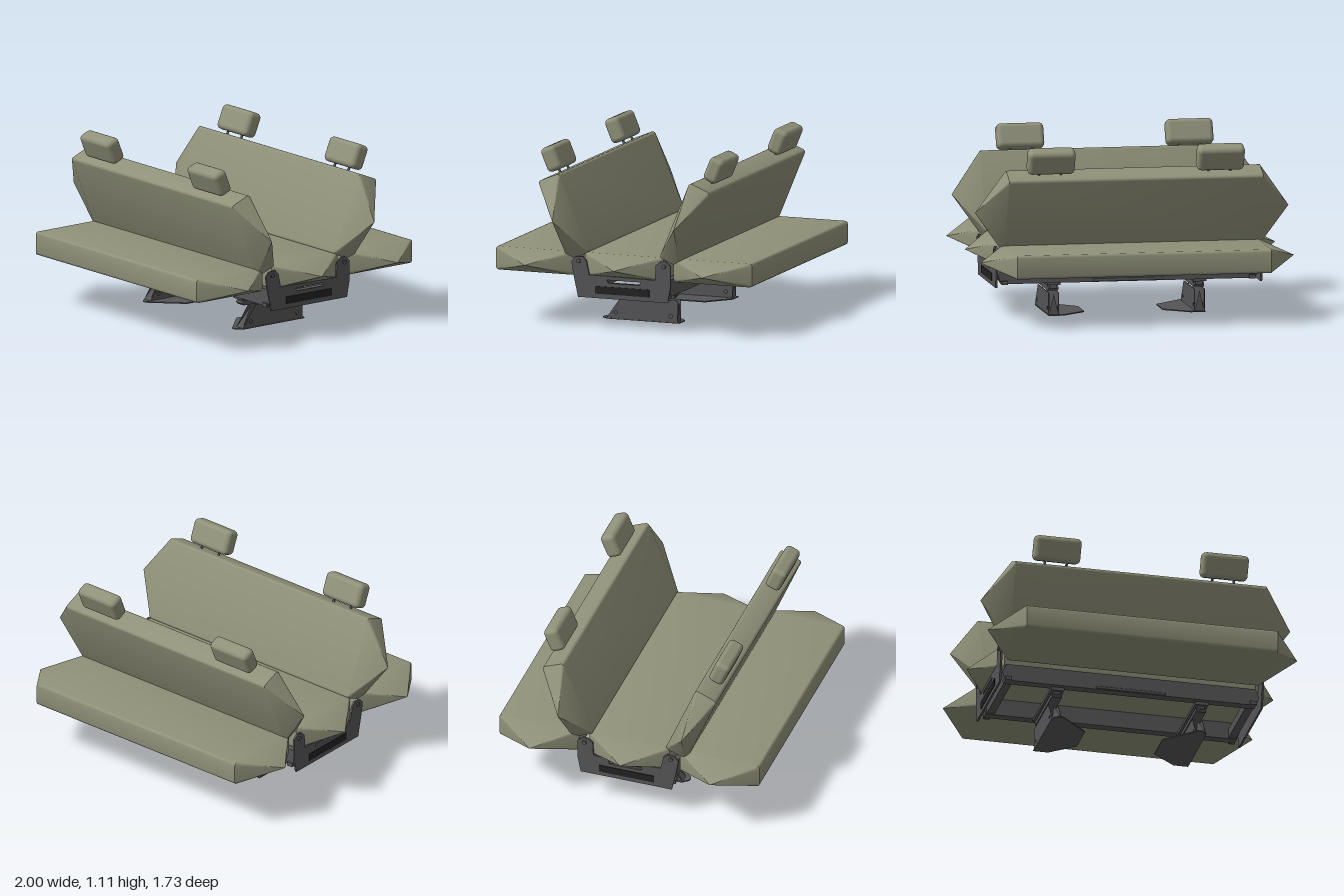
import * as THREE from 'three';
import { RoundedBoxGeometry } from 'three/addons/geometries/RoundedBoxGeometry.js';
import { toCreasedNormals } from 'three/addons/utils/BufferGeometryUtils.js';

const fabric = new THREE.MeshStandardMaterial({ color: 0x8f9179 });
const metal = new THREE.MeshStandardMaterial({ color: 0x555557, side: THREE.DoubleSide });
const black = new THREE.MeshStandardMaterial({ color: 0x222222 });
const LEAN = THREE.MathUtils.degToRad(22.5);

function add(parent, name, geometry, material, x = 0, y = 0, z = 0) {
  const mesh = new THREE.Mesh(geometry, material);
  mesh.name = name;
  mesh.position.set(x, y, z);
  parent.add(mesh);
  return mesh;
}

const box = (w, h, d) => new THREE.BoxGeometry(w, h, d);
const polygon = (pts) => new THREE.Shape(pts.map(([a, b]) => new THREE.Vector2(a, b)));

// Outline drawn in (z, y), extruded to a plate of the given thickness along x
function sidePlate(shape, thickness) {
  const g = new THREE.ExtrudeGeometry(shape, { depth: thickness, bevelEnabled: false, curveSegments: 8 });
  return g.translate(0, 0, -thickness / 2).rotateY(-Math.PI / 2);
}

// Rectangle with softened corners, lofted along x and drawn to a point at each end
function cushionGeometry(tip) {
  const hz = 0.265, hy = 0.075, r = 0.018, ring = [];
  [[1, 1, 0], [-1, 1, 1], [-1, -1, 2], [1, -1, 3]].forEach(([sz, sy, q]) => {
    for (let i = 0; i <= 3; i++) {
      const a = (q + i / 3) * Math.PI / 2;
      ring.push([sz * (hz - r) + r * Math.cos(a), sy * (hy - r) + r * Math.sin(a)]);
    }
  });
  const n = ring.length, pos = [], index = [];
  for (const [x, s] of [[-tip, 0], [-0.81, 1], [0.81, 1], [tip, 0]])
    for (const [z, y] of ring) pos.push(x, y * s, z * s);
  for (let k = 0; k < 3; k++)
    for (let i = 0; i < n; i++) {
      const a = k * n + i, b = k * n + (i + 1) % n;
      if (k > 0) index.push(a, b, a + n);
      else index.push(a, b + n, a + n);
      if (k === 1) index.push(b, b + n, a + n);
    }
  // ring runs z -> y, so flip the winding to face outwards
  for (let i = 0; i < index.length; i += 3) {
    const A = index[i], B = index[i + 1], C = index[i + 2];
    const v = (j) => new THREE.Vector3().fromArray(pos, j * 3);
    const normal = v(B).sub(v(A)).cross(v(C).sub(v(A)));
    const centre = v(A).add(v(B)).add(v(C));
    if (normal.dot(centre) < 0) [index[i + 1], index[i + 2]] = [C, B];
  }
  const g = new THREE.BufferGeometry();
  g.setAttribute('position', new THREE.Float32BufferAttribute(pos, 3));
  g.setIndex(index);
  return toCreasedNormals(g, 0.6);
}

export function createModel() {
  const model = new THREE.Group();
  model.name = 'doubleBench';

  // Seat cushions
  add(model, 'middleSeat', cushionGeometry(0.99), fabric, 0, 0.4, 0);
  for (const s of [1, -1]) add(model, s > 0 ? 'frontSeat' : 'rearSeat', cushionGeometry(1), fabric, 0, 0.4, s * 0.6);

  // Leaning backrests with two headrests each
  for (const s of [1, -1]) {
    const back = new THREE.Group();
    back.name = s > 0 ? 'frontBackrest' : 'rearBackrest';
    back.position.set(0, 0.69, s * 0.41);
    back.rotation.x = s * LEAN;
    model.add(back);
    add(back, 'backCushion', cushionGeometry(1).rotateX(-Math.PI / 2), fabric);
    for (const x of [-0.54, 0.54]) {
      add(back, 'headrest', new RoundedBoxGeometry(0.3, 0.16, 0.1, 3, 0.03), fabric, x, 0.365, 0);
      for (const dx of [-0.07, 0.07])
        add(back, 'headrestPost', new THREE.CylinderGeometry(0.008, 0.008, 0.06, 10), metal, x + dx, 0.275, 0);
    }
  }

  // Side brackets that hold the seat and the backrests
  const bracket = polygon([
    [0.295, 0.195], [0.325, 0.33], [0.34, 0.42], [0.315, 0.45], [0.265, 0.455], [0.24, 0.43], [0.22, 0.34],
    [-0.225, 0.335], [-0.23, 0.43], [-0.26, 0.455], [-0.295, 0.46], [-0.33, 0.43], [-0.33, 0.3], [-0.31, 0.195],
  ]);
  bracket.holes.push(polygon([[0.1, 0.315], [-0.125, 0.315], [-0.12, 0.295], [0.09, 0.295]]));
  for (const s of [-1, 1]) {
    add(model, 'sideBracket', sidePlate(bracket, 0.012), metal, s * 0.845);
    add(model, 'bracketPanel', box(0.006, 0.048, 0.365), black, s * 0.852, 0.248, -0.005);
    for (const z of [0.29, -0.285])
      add(model, 'pivotBolt', new THREE.CylinderGeometry(0.014, 0.014, 0.012, 12).rotateZ(Math.PI / 2), metal, s * 0.854, 0.425, z);
    // Frame end member
    add(model, 'endMember', box(0.05, 0.06, 0.5), metal, s * 0.78, 0.25, 0);
  }

  // Long frame rails with chamfered ends
  const rail = polygon([[-0.81, 0.215], [0.81, 0.215], [0.83, 0.27], [0.805, 0.325], [-0.805, 0.325], [-0.83, 0.27]]);
  for (const s of [-1, 1]) {
    const g = new THREE.ExtrudeGeometry(rail, { depth: 0.06, bevelEnabled: false });
    add(model, 'frameRail', g, metal, 0, 0, s * 0.26 - 0.03);
    add(model, 'releaseHandle', new RoundedBoxGeometry(0.45, 0.018, 0.015, 2, 0.007), metal, 0, 0.227, s * 0.293);
    for (const x of [-0.79, 0.79])
      add(model, 'railFoot', box(0.04, 0.025, 0.02), metal, x, 0.225, s * 0.295);
  }

  // Slides, hollow legs and floor plates
  const leg = polygon([[0.245, 0.005], [0.145, 0.145], [-0.235, 0.145], [-0.235, 0.005]]);
  for (const z of [0.18, -0.19])
    leg.holes.push(new THREE.Path().absarc(z, 0.043, 0.012, 0, Math.PI * 2, true));
  for (const s of [-1, 1]) {
    const stand = new THREE.Group();
    stand.name = s > 0 ? 'leftStand' : 'rightStand';
    stand.position.x = s * 0.465;
    model.add(stand);
    add(stand, 'slideTop', box(0.085, 0.022, 0.5), metal, 0, 0.205, 0.01);
    add(stand, 'slideNeck', box(0.045, 0.025, 0.46), metal, 0, 0.183, 0.01);
    const lower = polygon([[0.25, 0.17], [0.235, 0.185], [-0.205, 0.185], [-0.22, 0.17], [-0.205, 0.155], [0.235, 0.155]]);
    add(stand, 'slideLower', sidePlate(lower, 0.065), metal);
    for (const dx of [-0.031, 0.031]) add(stand, 'legWall', sidePlate(leg, 0.004), metal, dx);

    // Pointed gusset closing the sloping end of the leg
    const gusset = new THREE.ShapeGeometry(polygon([[-0.031, 0], [0.031, 0], [0, 0.165]]));
    add(stand, 'legGusset', gusset, metal, 0, 0.005, 0.245).rotation.x = -0.62;
    add(stand, 'legGussetRear', gusset.clone().scale(1, 0.8, 1), metal, 0, 0.005, -0.233);

    // Floor plate reaching inwards with cut corners
    const plate = polygon([[0.28, 0], [0.28, -0.0], [0.24, 0.035], [-0.25, 0.035], [-0.25, -0.06], [-0.12, -0.215], [0.1, -0.215], [0.28, -0.03]]
      .map(([z, x]) => [x * s, -z]));
    const g = new THREE.ExtrudeGeometry(plate, { depth: 0.007, bevelEnabled: false }).rotateX(-Math.PI / 2);
    add(stand, 'floorPlate', g, metal);
  }
  return model;
}
